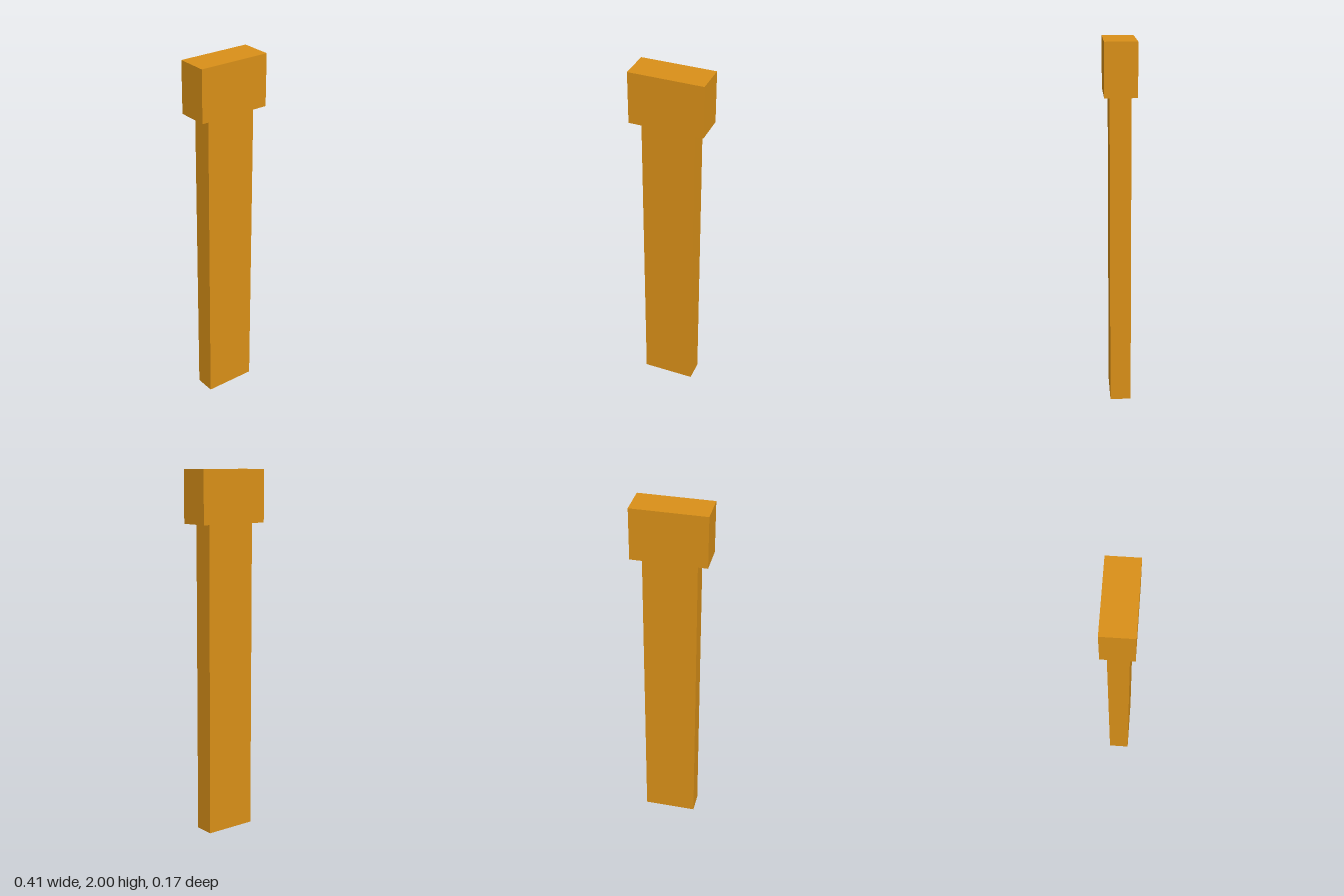
import * as THREE from 'three';

export function createModel() {
  const group = new THREE.Group();
  const material = new THREE.MeshStandardMaterial({ color: 0xd99018, flatShading: true });

  // Adds a box centred on the vertical axis, from height y0 to y1
  const addBlock = (name, width, depth, y0, y1) => {
    const mesh = new THREE.Mesh(new THREE.BoxGeometry(width, y1 - y0, depth), material);
    mesh.name = name;
    mesh.position.y = (y0 + y1) / 2;
    group.add(mesh);
  };

  // Long flat shaft
  addBlock('shaft', 0.29, 0.114, 0, 1.714);
  // Wider block on top
  addBlock('head', 0.406, 0.174, 1.714, 2);

  return group;
}
